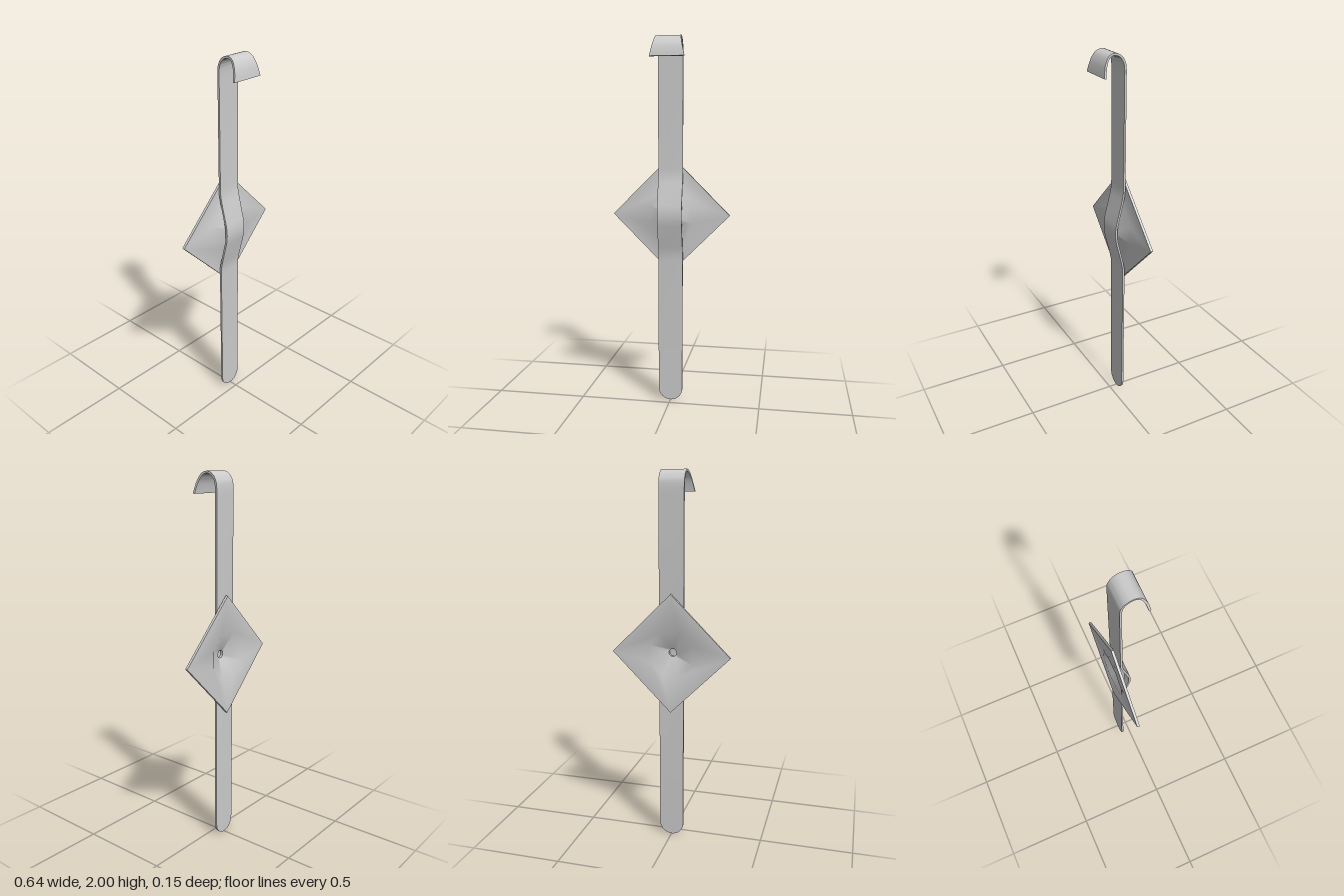
import * as THREE from 'three';
import { mergeGeometries, toCreasedNormals } from 'three/addons/utils/BufferGeometryUtils.js';

const material = new THREE.MeshStandardMaterial({ color: 0xcccccc });

// Flat strip swept along rows of [y, z, halfWidth], with a rectangular section
function stripGeometry(rows, thickness) {
  const positions = [], index = [];
  rows.forEach(([y, z, w], i) => {
    const a = rows[Math.max(i - 1, 0)], b = rows[Math.min(i + 1, rows.length - 1)];
    const dy = b[0] - a[0], dz = b[1] - a[1];
    const k = thickness / 2 / Math.hypot(dy, dz);
    const ny = -dz * k, nz = dy * k; // towards the outer (front) face
    positions.push(-w, y + ny, z + nz, w, y + ny, z + nz, w, y - ny, z - nz, -w, y - ny, z - nz);
    if (i === 0) return;
    const p = (i - 1) * 4, q = i * 4;
    for (let s = 0; s < 4; s++) {
      const t = (s + 1) % 4;
      index.push(p + s, p + t, q + t, p + s, q + t, q + s);
    }
  });
  const e = (rows.length - 1) * 4;
  index.push(0, 2, 1, 0, 3, 2, e, e + 1, e + 2, e, e + 2, e + 3);
  const g = new THREE.BufferGeometry();
  g.setAttribute('position', new THREE.Float32BufferAttribute(positions, 3));
  g.setIndex(index);
  return toCreasedNormals(g, 0.7);
}

function createStrap() {
  const W = 0.067, Z = -0.051, T = 0.011, rows = [];
  // Rounded lower end
  for (let i = 0; i <= 8; i++) {
    const a = (i / 8) * Math.PI / 2;
    rows.push([0.068 * (1 - Math.cos(a)), Z, Math.max(W * Math.sin(a), 0.004)]);
  }
  // Straight run with the raised bend over the plate
  const bend = [[0.8, Z], [0.84, -0.049], [0.88, -0.041], [1.0, -0.011], [1.03, -0.006], [1.055, -0.005],
    [1.08, -0.006], [1.11, -0.011], [1.23, -0.041], [1.27, -0.049], [1.31, Z], [1.88, Z]];
  bend.forEach(([y, z]) => rows.push([y, z, W]));
  // Hook curling forward, flaring towards its lip
  const hook = new THREE.CatmullRomCurve3([
    [1.915, Z], [1.95, -0.046], [1.98, -0.027], [1.9945, 0.005],
    [1.985, 0.036], [1.955, 0.056], [1.92, 0.066], [1.89, 0.071],
  ].map(([y, z]) => new THREE.Vector3(0, y, z)));
  hook.getPoints(28).forEach(({ y, z }) => {
    const flare = z > 0.005 ? 0.025 * (1.9945 - y) / 0.105 : 0;
    rows.push([y, z, W + flare]);
  });
  const strap = new THREE.Mesh(stripGeometry(rows, T), material);
  strap.name = 'hookedStrap';
  return strap;
}

function createPlate() {
  const half = 0.322, depth = 0.014, back = -0.076, R = 0.125, tip = 0.022, rise = 0.049;
  // Diamond with an octagonal opening for the dimple
  const shape = new THREE.Shape([[half, 0], [0, half], [-half, 0], [0, -half]].map(p => new THREE.Vector2(...p)));
  const opening = [];
  for (let i = 0; i < 8; i++) {
    const a = Math.PI / 8 - i * Math.PI / 4;
    opening.push(new THREE.Vector2(R * Math.cos(a), R * Math.sin(a)));
  }
  shape.holes.push(new THREE.Path(opening));
  const sheet = new THREE.ExtrudeGeometry(shape, { depth, bevelEnabled: false });

  // Hollow eight-sided dimple pressed forward, pierced at the tip
  const profile = [[R, depth], [tip, depth + rise], [tip, rise], [R, 0]].map(p => new THREE.Vector2(...p));
  const dimple = new THREE.LatheGeometry(profile, 8, Math.PI / 8).rotateX(Math.PI / 2).toNonIndexed();

  const geometry = toCreasedNormals(mergeGeometries([sheet, dimple]), 0.85);
  const plate = new THREE.Mesh(geometry, material);
  plate.name = 'dimpledDiamondPlate';
  plate.position.set(0, 1.056, back);
  return plate;
}

export function createModel() {
  const model = new THREE.Group();
  model.name = 'hookedStrapWithPlate';
  model.add(createStrap(), createPlate());
  return model;
}
